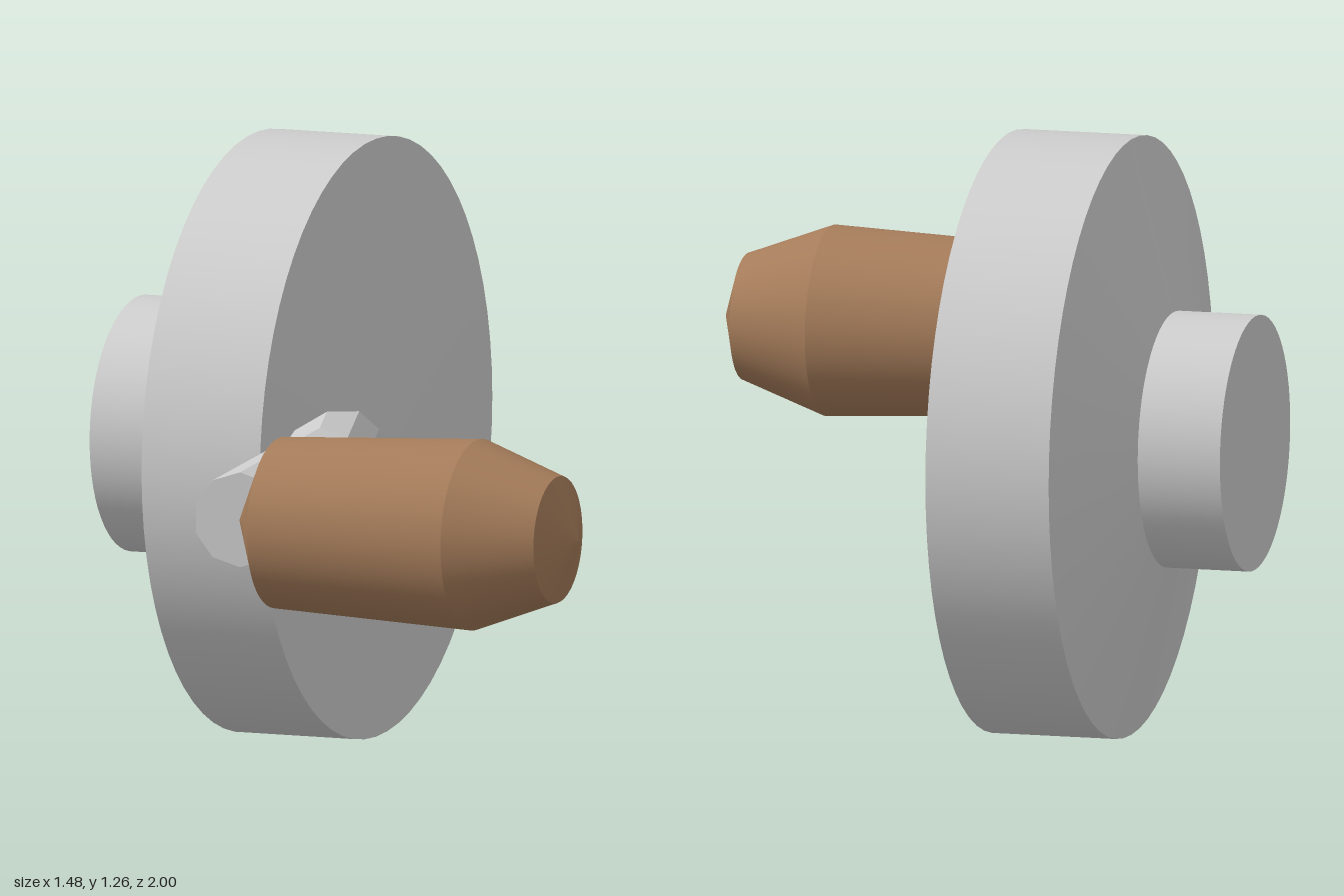
import * as THREE from 'three';
import { mergeGeometries } from 'three/addons/utils/BufferGeometryUtils.js';

const AXIS_Y = 0.63;

// Solid turned about the x axis from [x, radius] pairs, with a crisp edge at each pair
function turned(profile, segments = 64) {
  const bands = profile.slice(1).map(([x, r], i) => new THREE.LatheGeometry(
    [new THREE.Vector2(profile[i][1], profile[i][0]), new THREE.Vector2(r, x)], segments));
  return mergeGeometries(bands).rotateZ(-Math.PI / 2);
}

// Faceted bar of constant section following a path in the xz plane, mitred at bends
function facetedBar(path, radius, sides) {
  const up = new THREE.Vector3(0, 1, 0);
  const positions = [], index = [];
  path.forEach((p, i) => {
    const inDir = p.clone().sub(path[Math.max(i - 1, 0)]).normalize();
    const outDir = path[Math.min(i + 1, path.length - 1)].clone().sub(p).normalize();
    const across = up.clone().cross(inDir.add(outDir).normalize());
    for (let j = 0; j < sides; j++) {
      const a = ((j + 0.5) / sides) * Math.PI * 2;
      const v = p.clone().addScaledVector(across, Math.cos(a) * radius).addScaledVector(up, Math.sin(a) * radius);
      positions.push(v.x, v.y, v.z);
    }
  });
  const last = (path.length - 1) * sides;
  for (let j = 0; j < sides; j++) {
    const k = (j + 1) % sides;
    for (let b = 0; b < last; b += sides) {
      index.push(b + j, b + k, b + sides + k, b + j, b + sides + k, b + sides + j);
    }
    // End caps as fans
    if (j > 0 && j < sides - 1) index.push(0, k, j, last, last + j, last + k);
  }
  const indexed = new THREE.BufferGeometry();
  indexed.setAttribute('position', new THREE.Float32BufferAttribute(positions, 3));
  indexed.setIndex(index);
  const geometry = indexed.toNonIndexed();
  geometry.computeVertexNormals();
  return geometry;
}

export function createModel() {
  const metal = new THREE.MeshStandardMaterial({ color: 0xcccccc });
  metal.name = 'grey metal';
  const wood = new THREE.MeshStandardMaterial({ color: 0xa57c5a });
  wood.name = 'brown wood';

  const model = new THREE.Group();
  model.name = 'handCrank';
  const add = (name, geometry, material, y = 0, z = 0) => {
    const mesh = new THREE.Mesh(geometry, material);
    mesh.name = name;
    mesh.position.set(0, y, z);
    model.add(mesh);
  };

  // Wheel with its rear hub and slightly domed face
  add('wheel', turned([[-0.74, 0], [-0.74, 0.268], [-0.562, 0.268], [-0.472, 0.63], [-0.205, 0.63], [-0.16, 0]]),
    metal, AXIS_Y, -0.373);

  // Bent ten-sided arm running from inside the wheel to the grip
  const armPath = [[-0.285, -0.35], [-0.11, 0.16], [-0.025, 0.797]]
    .map(([x, z]) => new THREE.Vector3(x, AXIS_Y, z));
  add('crankArm', facetedBar(armPath, 0.1, 10), metal);

  // Tapered wooden grip
  add('gripHandle', turned([[-0.025, 0], [0.066, 0.179], [0.512, 0.2], [0.694, 0.133], [0.74, 0]]),
    wood, AXIS_Y, 0.8);

  return model;
}
